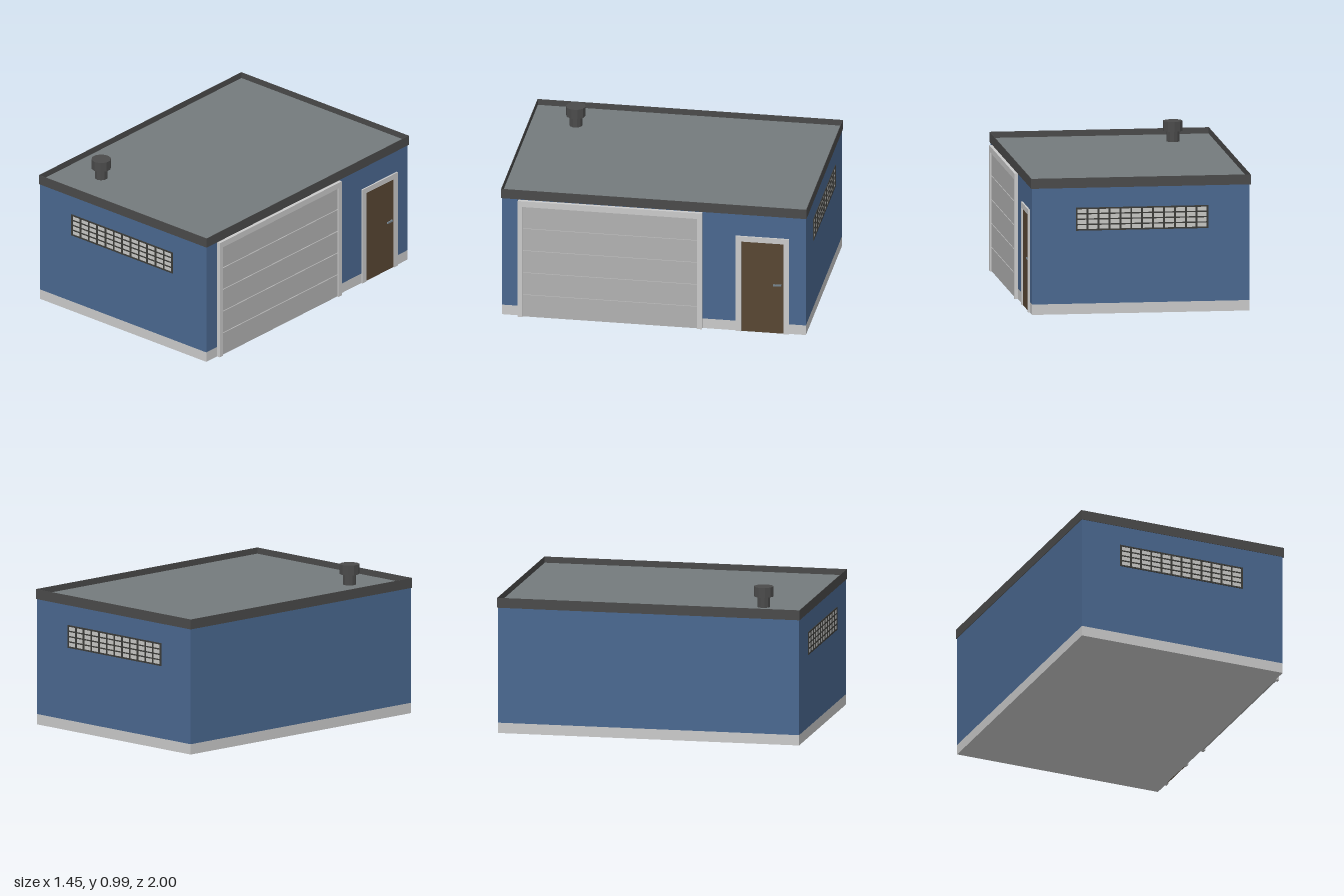
import * as THREE from 'three';

function mat(name, color) {
  const m = new THREE.MeshStandardMaterial({ color });
  m.name = name;
  return m;
}

export function createModel() {
  const blue = mat('wall blue', 0x4a6890);
  const trim = mat('pale trim', 0xcacaca);
  const shutter = mat('shutter grey', 0xb2b2b2);
  const dark = mat('fascia grey', 0x4a4a4a);
  const roofGrey = mat('roof grey', 0x747b7d);
  const brown = mat('door brown', 0x584633);
  const steel = mat('handle steel', 0x76858f);
  const bars = mat('window bar grey', 0x3c3c39);
  const glass = mat('window pane', 0xc8c8c5);

  const model = new THREE.Group();
  model.name = 'garage';

  // Box given by its minimum and maximum on each axis
  function box(parent, name, m, x0, x1, y0, y1, z0, z1) {
    const mesh = new THREE.Mesh(new THREE.BoxGeometry(x1 - x0, y1 - y0, z1 - z0), m);
    mesh.position.set((x0 + x1) / 2, (y0 + y1) / 2, (z0 + z1) / 2);
    mesh.name = name;
    parent.add(mesh);
    return mesh;
  }
  function group(name) {
    const g = new THREE.Group();
    g.name = name;
    model.add(g);
    return g;
  }

  // Walls on a flush plinth
  const W0 = -0.719, W1 = 0.699, D = 0.995;
  box(model, 'plinth', trim, W0, W1, 0, 0.068, -D, D);
  box(model, 'walls', blue, W0, W1, 0.068, 0.83, -D, D);

  // Sunken flat roof inside a thin fascia
  const R0 = -0.725, R1 = 0.706, T = 0.003;
  box(model, 'roof', roofGrey, R0 + T, R1 - T, 0.827, 0.85, -1 + T, 1 - T);
  const fascia = group('fascia');
  box(fascia, 'fasciaFront', dark, R0, R1, 0.825, 0.89, 1 - T, 1);
  box(fascia, 'fasciaBack', dark, R0, R1, 0.825, 0.89, -1, -1 + T);
  box(fascia, 'fasciaRight', dark, R0, R0 + T, 0.825, 0.89, -1 + T, 1 - T);
  box(fascia, 'fasciaLeft', dark, R1 - T, R1, 0.825, 0.89, -1 + T, 1 - T);

  // Roof vent: stem and wider cap
  const vent = group('vent');
  vent.position.set(-0.45, 0, 0.703);
  const ventMat = mat('vent grey', 0x4b4b4b);
  ventMat.flatShading = true;
  for (const [name, r, y0, y1] of [['ventStem', 0.042, 0.85, 0.92], ['ventCap', 0.0645, 0.92, 0.985]]) {
    const m = new THREE.Mesh(new THREE.CylinderGeometry(r, r, y1 - y0, 10), ventMat);
    m.position.y = (y0 + y1) / 2;
    m.name = name;
    vent.add(m);
  }

  // Long barred windows on the front and back walls
  const X0 = -0.45, X1 = 0.415, Y0 = 0.545, Y1 = 0.695;
  for (const [name, s] of [['frontWindow', 1], ['backWindow', -1]]) {
    const g = group(name);
    const plate = (n, m, x0, x1, y0, y1, depth) => {
      const a = s * (D - 0.002), b = s * (D + depth);
      box(g, n, m, x0, x1, y0, y1, Math.min(a, b), Math.max(a, b));
    };
    plate('panes', glass, X0 + 0.005, X1 - 0.005, Y0 + 0.005, Y1 - 0.005, 0.001);
    for (let i = 0; i <= 12; i++) {
      const x = X0 + 0.006 + (X1 - X0 - 0.012) * i / 12;
      plate('uprightBar', bars, x - 0.006, x + 0.006, Y0, Y1, 0.005);
    }
    for (let i = 0; i <= 4; i++) {
      const y = Y0 + 0.005 + (Y1 - Y0 - 0.01) * i / 4;
      const h = i % 4 ? 0.004 : 0.005;
      plate('crossBar', bars, X0, X1, y - h, y + h, 0.0045);
    }
  }

  // Two posts and a lintel around an opening on the +x wall
  function frame(g, name, depth, z0, z1, top, side, head) {
    box(g, name + 'Post', trim, W1 - 0.005, depth, 0, top, z0, z0 + side);
    box(g, name + 'Post', trim, W1 - 0.005, depth, 0, top, z1 - side, z1);
    box(g, name + 'Lintel', trim, W1 - 0.005, depth, top - head, top, z0 + side, z1 - side);
  }

  // Sectional garage door with narrow grooves
  const gd = group('garageDoor');
  frame(gd, 'garageFrame', 0.722, -0.317, 0.888, 0.82, 0.031, 0.04);
  box(gd, 'garageBacking', shutter, W1 - 0.005, 0.702, 0, 0.78, -0.286, 0.857);
  for (let i = 0; i < 5; i++) {
    const y = 0.156 * i;
    box(gd, 'garagePanel', shutter, 0.7, 0.71, y + (i ? 0.003 : 0), y + (i < 4 ? 0.153 : 0.156), -0.286, 0.857);
  }

  // Side door with lever handle
  const sd = group('sideDoor');
  frame(sd, 'sideDoorFrame', 0.71, -0.886, -0.536, 0.672, 0.037, 0.036);
  box(sd, 'sideDoorLeaf', brown, W1 - 0.005, 0.702, 0, 0.636, -0.849, -0.573);
  box(sd, 'handleStem', steel, 0.7, 0.711, 0.336, 0.348, -0.835, -0.823);
  box(sd, 'handleLever', steel, 0.706, 0.712, 0.336, 0.348, -0.823, -0.783);

  return model;
}
